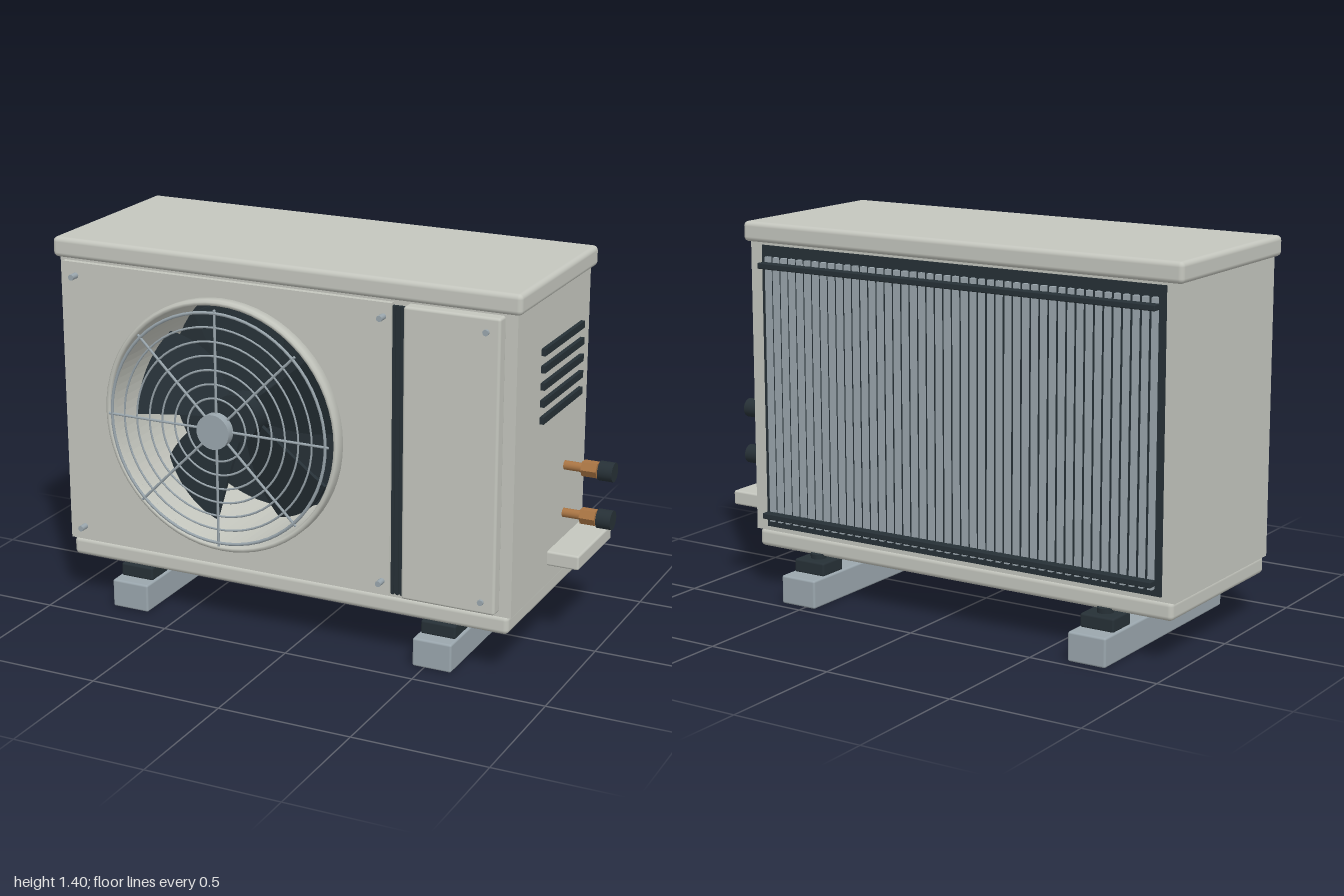
import * as THREE from 'three';
import { RoundedBoxGeometry } from 'three/addons/geometries/RoundedBoxGeometry.js';

const material = (color) => new THREE.MeshStandardMaterial({ color });

export function createModel() {
  const model = new THREE.Group();
  model.name = 'outdoorCondenser';
  const shell = material(0xc4c6be);
  const dark = material(0x263036);
  const steel = material(0x9aa6ad);
  const copper = material(0xa87443);

  const add = (name, geometry, mat, parent = model) => {
    const mesh = new THREE.Mesh(geometry, mat);
    mesh.name = name;
    parent.add(mesh);
    return mesh;
  };
  // Box given by its extents; r > 0 rounds the edges
  const box = (name, mat, x0, x1, y0, y1, z0, z1, r = 0) => {
    const w = x1 - x0, h = y1 - y0, d = z1 - z0;
    const geometry = r ? new RoundedBoxGeometry(w, h, d, 3, r) : new THREE.BoxGeometry(w, h, d);
    const mesh = add(name, geometry, mat);
    mesh.position.set((x0 + x1) / 2, (y0 + y1) / 2, (z0 + z1) / 2);
    return mesh;
  };
  // Cylinder along z or x between two coordinates
  const rodZ = (name, mat, r, x, y, z0, z1, sides = 32, parent = model) => {
    const geometry = new THREE.CylinderGeometry(r, r, z1 - z0, sides).rotateX(Math.PI / 2);
    const mesh = add(name, geometry, mat, parent);
    mesh.position.set(x, y, (z0 + z1) / 2);
    return mesh;
  };
  const rodX = (name, mat, r, x0, x1, y, z, sides = 24) => {
    const geometry = new THREE.CylinderGeometry(r, r, x1 - x0, sides).rotateZ(Math.PI / 2);
    const mesh = add(name, geometry, mat);
    mesh.position.set((x0 + x1) / 2, y, z);
    return mesh;
  };
  // Rectangular slab with the round fan opening cut through it
  const FX = -0.3, FY = 0.785, OPENING = 0.452;
  const slabWithHole = (name, x0, x1, y0, y1, z0, z1) => {
    const shape = new THREE.Shape();
    shape.moveTo(x0, y0).lineTo(x1, y0).lineTo(x1, y1).lineTo(x0, y1).closePath();
    const hole = new THREE.Path();
    hole.absarc(FX, FY, OPENING, 0, Math.PI * 2, true);
    shape.holes.push(hole);
    const geometry = new THREE.ExtrudeGeometry(shape, { depth: z1 - z0, bevelEnabled: false, curveSegments: 48 });
    add(name, geometry, shell).position.z = z0;
  };

  // Cabinet
  box('lid', shell, -1, 0.83, 1.33, 1.405, -0.37, 0.38, 0.018);
  box('baseTray', shell, -0.97, 0.8, 0.165, 0.235, -0.345, 0.36, 0.018);
  slabWithHole('cabinet', -0.98, 0.81, 0.232, 1.335, -0.345, 0.357);
  slabWithHole('frontPanel', -0.96, 0.355, 0.245, 1.32, 0.357, 0.378);
  box('servicePanel', shell, 0.41, 0.765, 0.25, 1.322, 0.35, 0.403, 0.01);
  box('panelGap', dark, 0.355, 0.41, 0.25, 1.31, 0.35, 0.368);
  for (const x of [0.365, 0.383, 0.4]) box('gapRib', dark, x - 0.004, x + 0.004, 0.25, 1.31, 0.365, 0.376);
  for (const y of [0.295, 1.27]) {
    for (const x of [-0.905, 0.325, 0.715]) rodZ('panelScrew', steel, 0.011, x, y, 0.37, 0.413, 16);
  }

  // Fan surround and inner back wall
  const ring = [[OPENING, 0.37], [0.473, 0.37], [0.473, 0.412], [0.466, 0.42], [0.457, 0.42], [OPENING, 0.412], [OPENING, 0.37]]
    .map(([r, z]) => new THREE.Vector2(r, z));
  const surround = add('fanSurround', new THREE.LatheGeometry(ring, 64).rotateX(Math.PI / 2), shell);
  surround.material = shell.clone();
  surround.material.side = THREE.DoubleSide;
  surround.position.set(FX, FY, 0);
  rodZ('fanBackWall', dark, OPENING, FX, FY, -0.06, -0.04, 64);

  // Fan with pitched blades
  const fan = new THREE.Group();
  fan.name = 'fan';
  fan.position.set(FX, FY, 0.22);
  model.add(fan);
  rodZ('fanHub', dark, 0.09, 0, 0, -0.08, 0.08, 32, fan);
  rodZ('motorShaft', dark, 0.05, 0, 0, -0.27, -0.07, 24, fan);
  const bladeShape = new THREE.Shape();
  bladeShape.moveTo(0.06, -0.05);
  bladeShape.quadraticCurveTo(0.22, -0.17, 0.38, -0.15);
  bladeShape.absarc(0, 0, 0.42, -0.36, 0.45, false);
  bladeShape.quadraticCurveTo(0.2, 0.1, 0.06, 0.05);
  const blade = new THREE.ExtrudeGeometry(bladeShape, { depth: 0.012, bevelEnabled: false, curveSegments: 16 });
  blade.rotateX(0.35);
  for (let i = 0; i < 5; i++) add('fanBlade', blade, dark, fan).rotation.z = Math.PI / 2 + (i * Math.PI * 2) / 5;

  // Wire guard: concentric rings, spokes and a central cap
  const guard = new THREE.Group();
  guard.name = 'fanGuard';
  guard.position.set(FX, FY, 0.438);
  model.add(guard);
  for (let i = 1; i <= 7; i++) {
    const r = 0.065 + i * 0.0525;
    add('guardRing', new THREE.TorusGeometry(r, i === 7 ? 0.006 : 0.004, 6, 64), steel, guard);
  }
  for (let i = 0; i < 4; i++) {
    const spoke = add('guardSpoke', new THREE.CylinderGeometry(0.005, 0.005, 0.89, 8), steel, guard);
    spoke.rotation.z = (i * Math.PI) / 4;
  }
  rodZ('guardCap', steel, 0.065, 0, 0, -0.006, 0.03, 32, guard);

  // Side vents, service shelf and pipe connections
  for (let i = 0; i < 5; i++) {
    const y = 0.89 + i * 0.062;
    box('sideVent', dark, 0.8, 0.825, y - 0.013, y + 0.013, -0.26, 0.13);
  }
  box('sideShelf', shell, 0.8, 0.93, 0.305, 0.36, -0.335, 0.015, 0.008);
  for (const y of [0.64, 0.457]) {
    rodX('pipe', copper, 0.017, 0.8, 0.95, y, -0.14);
    const nut = rodX('pipeNut', copper.clone(), 0.031, 0.88, 0.938, y, -0.14, 6);
    nut.material.flatShading = true;
    rodX('pipeCap', dark, 0.036, 0.945, 1, y, -0.14);
  }

  // Rear coil: dark backing, upright fins and two guard bars
  box('coilBacking', dark, -0.93, 0.755, 0.25, 1.32, -0.352, -0.33);
  const fins = 46;
  for (let i = 0; i < fins; i++) {
    const x = -0.895 + (i * 1.615) / (fins - 1);
    box('coilFin', steel, x - 0.009, x + 0.009, 0.275, 1.28, -0.37, -0.35);
  }
  for (const y of [0.302, 1.25]) box('coilBar', dark, -0.915, 0.74, y - 0.011, y + 0.011, -0.402, -0.365, 0.004);

  // Ground rails with rubber pads
  for (const x of [-0.705, 0.53]) {
    box('groundRail', steel, x - 0.075, x + 0.075, 0, 0.108, -0.465, 0.4, 0.008);
    for (const z of [-0.335, 0.285]) {
      box('rubberPad', dark, x - 0.067, x + 0.067, 0.105, 0.157, z - 0.061, z + 0.061, 0.008);
      rodPost(x, z);
    }
  }
  // Short bolt joining each pad to the base tray
  function rodPost(x, z) {
    add('padBolt', new THREE.CylinderGeometry(0.03, 0.03, 0.03, 16), dark).position.set(x, 0.16, z);
  }
  return model;
}
